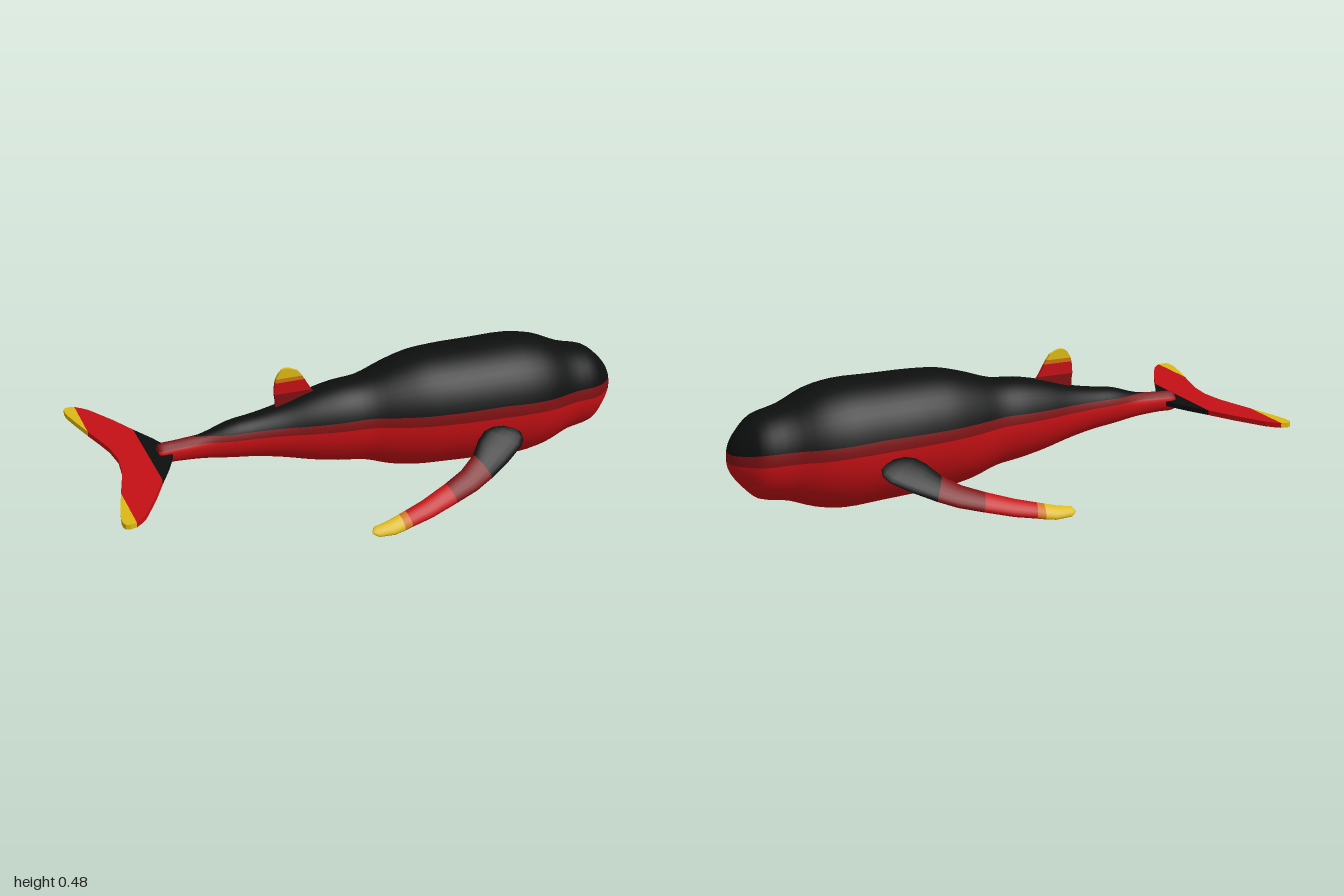
import * as THREE from 'three';

const mat = (name, color, side = THREE.FrontSide) => {
  const m = new THREE.MeshStandardMaterial({ color, side });
  m.name = name;
  return m;
};

// Skin closed rings of points; pick(row, column) gives the material index of each face
function loft(name, rings, pick, mats) {
  const n = rings[0].length, faces = mats.map(() => []);
  for (let i = 0; i < rings.length - 1; i++) {
    for (let j = 0; j < n; j++) {
      const k = (j + 1) % n;
      const a = i * n + j, b = a + n, c = (i + 1) * n + k, d = i * n + k;
      faces[pick(i, j)].push(a, b, c, a, c, d);
    }
  }
  const geo = new THREE.BufferGeometry().setFromPoints(rings.flat());
  geo.setIndex(faces.flat());
  let start = 0;
  faces.forEach((f, m) => { geo.addGroup(start, f.length, m); start += f.length; });
  geo.computeVertexNormals();
  const mesh = new THREE.Mesh(geo, mats);
  mesh.name = name;
  return mesh;
}

// Flat slab between two edges, centred on its thickness
function plate(name, edgeA, edgeB, thickness, material) {
  const pts = [...edgeA, ...[...edgeB].reverse()].map(([x, y]) => new THREE.Vector2(x, y));
  const geo = new THREE.ExtrudeGeometry(new THREE.Shape(pts), { depth: thickness, bevelEnabled: false });
  geo.translate(0, 0, -thickness / 2);
  const mesh = new THREE.Mesh(geo, material);
  mesh.name = name;
  return mesh;
}

// Piecewise linear value from [x, value] stops
function ramp(stops, x) {
  if (x <= stops[0][0]) return stops[0][1];
  for (let i = 1; i < stops.length; i++) {
    const [x0, v0] = stops[i - 1], [x1, v1] = stops[i];
    if (x <= x1) return v0 + (v1 - v0) * (x - x0) / (x1 - x0);
  }
  return stops[stops.length - 1][1];
}

function createBody(black, darkRed, red) {
  // x, top y, bottom y
  const profile = [
    [-0.76, 0.236, 0.234], [-0.76, 0.272, 0.202], [-0.7, 0.278, 0.2], [-0.6, 0.287, 0.194],
    [-0.5, 0.318, 0.18], [-0.4, 0.332, 0.167], [-0.3, 0.352, 0.146], [-0.2, 0.383, 0.12],
    [-0.1, 0.404, 0.1], [0, 0.413, 0.085], [0.1, 0.445, 0.052], [0.2, 0.471, 0.035],
    [0.3, 0.478, 0.029], [0.45, 0.478, 0.021], [0.6, 0.477, 0.014], [0.7, 0.458, 0.03],
    [0.8, 0.414, 0.066], [0.9, 0.386, 0.086], [0.95, 0.345, 0.13], [0.985, 0.3, 0.175],
    [0.998, 0.26, 0.205], [1, 0.233, 0.231]];
  const curve = new THREE.CatmullRomCurve3(profile.map((p) => new THREE.Vector3(...p)));
  const stripeTop = [[-0.76, 0.28], [-0.6, 0.284], [0, 0.3], [0.5, 0.297], [0.9, 0.275], [1, 0.26]];
  const stripeLow = [[-0.76, 0.255], [-0.6, 0.264], [0, 0.265], [0.6, 0.25], [0.9, 0.232], [1, 0.226]];
  const H = Math.PI / 2, rings = [];
  const steps = (profile.length - 1) * 3;
  for (let i = 0; i <= steps; i++) {
    const p = curve.getPoint(i / steps);
    const x = p.x, h = Math.max((p.y - p.z) / 2, 0.0005), cy = (p.y + p.z) / 2;
    const w = h * ramp([[-0.7, 0.8], [0.05, 0.83], [0.35, 0.9]], x);
    const angle = (y) => Math.asin(THREE.MathUtils.clamp((y - cy) / h, -1, 1));
    const low = angle(ramp(stripeLow, x)), top = angle(ramp(stripeTop, x));
    const half = [];
    for (let j = 0; j < 10; j++) half.push(-H + (low + H) * j / 10);
    for (let j = 0; j < 2; j++) half.push(low + (top - low) * j / 2);
    for (let j = 0; j < 10; j++) half.push(top + (H - top) * j / 10);
    const all = [...half, H, ...half.slice(1).reverse().map((a) => Math.PI - a)];
    rings.push(all.map((a) => new THREE.Vector3(x, cy + h * Math.sin(a), w * Math.cos(a))));
  }
  const pick = (i, j) => {
    const k = j < 22 ? j : 43 - j;
    return k < 10 ? 2 : k < 12 ? 1 : 0;
  };
  return loft('body', rings, pick, [black, darkRed, red]);
}

function createFlipper(name, side, mats) {
  // Outer edge x, z, inner edge x, z, half thickness, colour of the next band
  const stations = [
    [-0.122, 0.447, -0.122, 0.445, 0.001, 4], [-0.1, 0.459, -0.112, 0.43, 0.009, 4],
    [-0.04, 0.461, -0.06, 0.422, 0.013, 4], [0, 0.455, -0.01, 0.41, 0.015, 3],
    [0.03, 0.449, 0.015, 0.404, 0.016, 2], [0.11, 0.435, 0.09, 0.385, 0.017, 2],
    [0.215, 0.409, 0.19, 0.353, 0.018, 1], [0.3, 0.387, 0.265, 0.325, 0.018, 1],
    [0.37, 0.361, 0.325, 0.29, 0.018, 0], [0.45, 0.325, 0.362, 0.252, 0.017, 0],
    [0.515, 0.29, 0.395, 0.231, 0.015, 0], [0.533, 0.27, 0.43, 0.223, 0.012, 0],
    [0.53, 0.25, 0.47, 0.225, 0.007, 0], [0.51, 0.238, 0.505, 0.236, 0.001, 0]];
  const N = 16;
  const slopeY = (z) => 0.236 - 0.94 * (z - 0.222);
  const rings = stations.map(([ox, oz, ix, iz, t]) => {
    const ring = [];
    for (let j = 0; j < N; j++) {
      const a = j / N * Math.PI * 2, c = Math.cos(a), s = Math.sin(a) * t * 0.71;
      const x = (ox + ix) / 2 + (ox - ix) / 2 * c;
      const z = (oz + iz) / 2 + (oz - iz) / 2 * c;
      ring.push(new THREE.Vector3(x, slopeY(z) + s, side * (z + s)));
    }
    return side > 0 ? ring : ring.reverse();
  });
  return loft(name, rings, (i) => stations[i][5], mats);
}

function createDorsalFin(bands) {
  // y, rear x, front x
  const rows = [[0.33, -0.325, -0.15], [0.375, -0.325, -0.172], [0.395, -0.328, -0.187], [0.425, -0.326, -0.205],
    [0.44, -0.324, -0.213], [0.455, -0.32, -0.222], [0.475, -0.309, -0.236], [0.487, -0.297, -0.262], [0.491, -0.285, -0.275]];
  const fin = new THREE.Group();
  fin.name = 'dorsalFin';
  [['finBase', 0, 2], ['finMiddle', 2, 4], ['finBand', 4, 5], ['finTip', 5, 8]].forEach(([name, a, b], i) => {
    const part = rows.slice(a, b + 1);
    fin.add(plate(name, part.map(([y, r, f]) => [f, y]), part.map(([y, r]) => [r, y]), 0.012, bands[i]));
  });
  return fin;
}

function createFlukes(bands) {
  // x, inner z, outer z of one half
  const rows = [[-0.705, 0, 0.005], [-0.725, 0, 0.05], [-0.755, 0, 0.115], [-0.8, 0, 0.2], [-0.85, 0, 0.3],
    [-0.905, 0, 0.395], [-0.915, 0.09, 0.411], [-0.935, 0.165, 0.433], [-0.957, 0.24, 0.452],
    [-0.98, 0.325, 0.458], [-0.995, 0.385, 0.453], [-1, 0.415, 0.44]];
  const flukes = new THREE.Group();
  flukes.name = 'tailFlukes';
  for (const side of [1, -1]) {
    [['flukeRoot', 0, 3], ['flukeBlade', 3, 8], ['flukeTip', 8, 11]].forEach(([name, a, b], i) => {
      const part = rows.slice(a, b + 1);
      const m = plate(name, part.map(([x, n, o]) => [x, side * o]), part.map(([x, n]) => [x, side * n]), 0.018, bands[i]);
      m.rotation.x = Math.PI / 2;
      m.position.y = 0.235;
      flukes.add(m);
    });
  }
  return flukes;
}

export function createModel() {
  const black = mat('black', 0x0d0e0e);
  const darkRed = mat('dark red', 0x7e1012);
  const red = mat('red', 0xc41014);
  const orange = mat('orange', 0xcf7014);
  const yellow = mat('yellow', 0xdcb814);
  const fins = [black, darkRed, red, orange, yellow];

  const whale = new THREE.Group();
  whale.name = 'whale';
  whale.add(
    createBody(black, darkRed, red),
    createFlipper('flipperFront', 1, fins),
    createFlipper('flipperBack', -1, fins),
    createDorsalFin([darkRed, red, orange, yellow]),
    createFlukes([black, red, yellow]));
  return whale;
}
